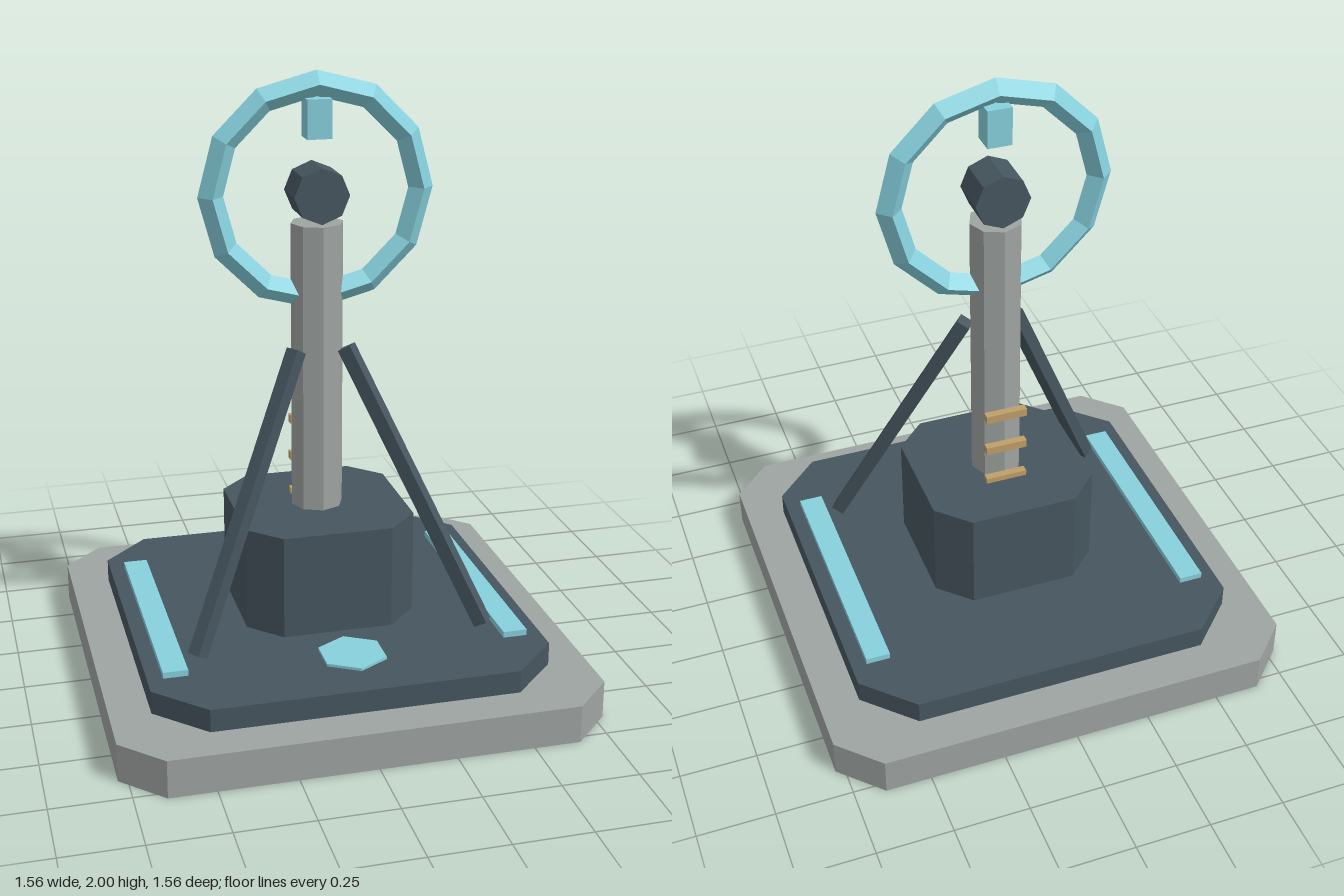
import * as THREE from 'three';

const material = (name, color) => {
  const m = new THREE.MeshStandardMaterial({ color, flatShading: true });
  m.name = name;
  return m;
};

export function createModel() {
  const stone = material('stone grey', 0x9ea4a2);
  const slate = material('dark slate', 0x46565f);
  const cyan = material('pale cyan', 0x86d0dc);
  const brass = material('brass', 0xbf9f68);

  const model = new THREE.Group();
  model.name = 'ringMonument';

  const add = (name, geometry, mat, x = 0, y = 0, z = 0) => {
    const mesh = new THREE.Mesh(geometry, mat);
    mesh.name = name;
    mesh.position.set(x, y, z);
    model.add(mesh);
    return mesh;
  };

  // Square slab with cut corners: half width h, corner start c
  const slab = (name, mat, h, c, y0, y1) => {
    const shape = new THREE.Shape([
      [h, -c], [h, c], [c, h], [-c, h], [-h, c], [-h, -c], [-c, -h], [c, -h],
    ].map(([x, y]) => new THREE.Vector2(x, y)));
    const geometry = new THREE.ExtrudeGeometry(shape, { depth: y1 - y0, bevelEnabled: false });
    geometry.rotateX(-Math.PI / 2);
    add(name, geometry, mat, 0, y0, 0);
  };

  // Stepped base and pedestal
  slab('foundation', stone, 0.78, 0.65, 0, 0.125);
  slab('deck', slate, 0.65, 0.495, 0.125, 0.2);
  slab('pedestal', slate, 0.282, 0.18, 0.22, 0.565);

  // Column and the round head on top of it
  add('column', new THREE.CylinderGeometry(0.086, 0.086, 0.955, 8), stone, 0, 1.0425, 0);
  const head = new THREE.CylinderGeometry(0.09, 0.09, 0.14, 8).rotateX(Math.PI / 2);
  add('head', head, slate, 0, 1.615, 0);

  // Ring with a diamond section, and the block hanging inside it
  add('ring', new THREE.TorusGeometry(0.342, 0.041, 4, 12), cyan, 0, 1.617, 0);
  add('ringBlock', new THREE.BoxGeometry(0.08, 0.125, 0.078), cyan, 0, 1.852, 0);

  // Inlays on the deck
  add('hexPlate', new THREE.CylinderGeometry(0.112, 0.112, 0.009, 6), cyan, 0, 0.2275, 0.456);

  for (const side of [-1, 1]) {
    const label = side > 0 ? 'left' : 'right';
    add(label + 'Strip', new THREE.BoxGeometry(0.08, 0.02, 0.845), cyan, side * 0.56, 0.21, 0);

    // Slanted brace from the deck to the column
    const foot = new THREE.Vector3(side * 0.475, 0.222, 0.34);
    const top = new THREE.Vector3(side * 0.083, 1.117, 0.06);
    const brace = add(label + 'Brace',
      new THREE.BoxGeometry(0.046, 0.046, foot.distanceTo(top)), slate);
    brace.position.copy(foot).lerp(top, 0.5);
    brace.lookAt(top);
  }

  // Rungs on the back of the column
  for (let i = 0; i < 3; i++) {
    add('rung' + (i + 1), new THREE.BoxGeometry(0.14, 0.028, 0.026), brass, 0, 0.57 + i * 0.13, -0.097);
  }

  return model;
}
